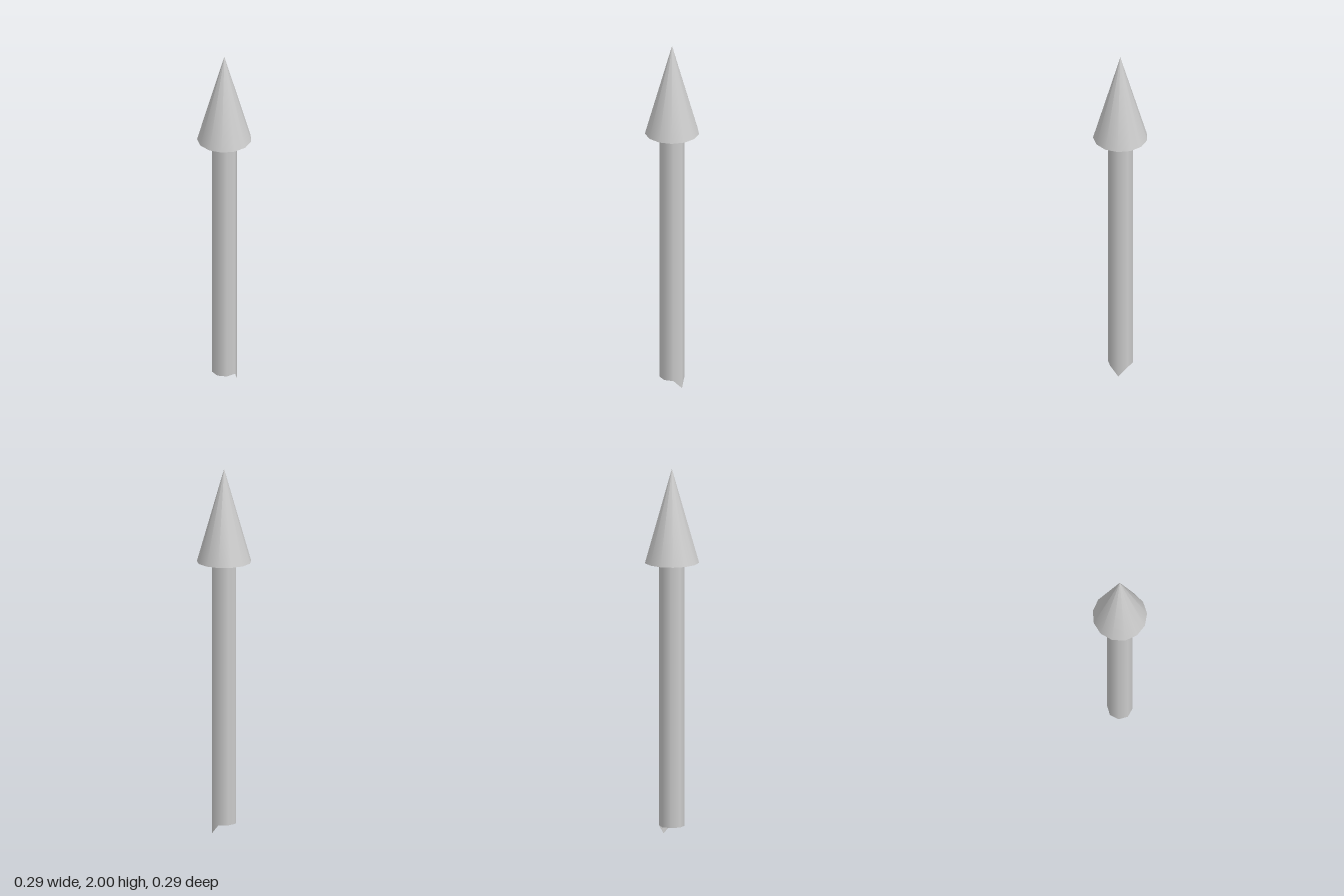
import * as THREE from 'three';

export function createModel() {
  const model = new THREE.Group();
  const grey = new THREE.MeshStandardMaterial({ color: 0xcccccc });
  const thinGrey = new THREE.MeshStandardMaterial({ color: 0xcccccc, side: THREE.DoubleSide });

  const bottom = 0.053, neck = 1.49, top = 2, centreZ = -0.003;

  // Arrow head: thirteen-sided cone with a closed base
  const head = new THREE.Mesh(new THREE.ConeGeometry(0.146, top - neck, 13), grey);
  head.name = 'arrowHead';
  head.position.set(0, (top + neck) / 2, centreZ);
  model.add(head);

  // Shaft: open eight-sided tube
  const length = neck - bottom;
  const tube = new THREE.CylinderGeometry(0.068, 0.068, length, 8, 1, true);
  tube.translate(0, length / 2 + bottom, 0);

  // One back corner of the lower rim is drawn down to a point on the ground
  const p = tube.attributes.position;
  for (let i = 0; i < p.count; i++) {
    if (p.getY(i) < 0.1 && p.getX(i) > 0.04 && p.getZ(i) < -0.04) p.setY(i, 0);
  }
  const shaft = new THREE.Mesh(tube, thinGrey);
  shaft.name = 'shaft';
  shaft.position.z = centreZ;
  model.add(shaft);

  return model;
}
